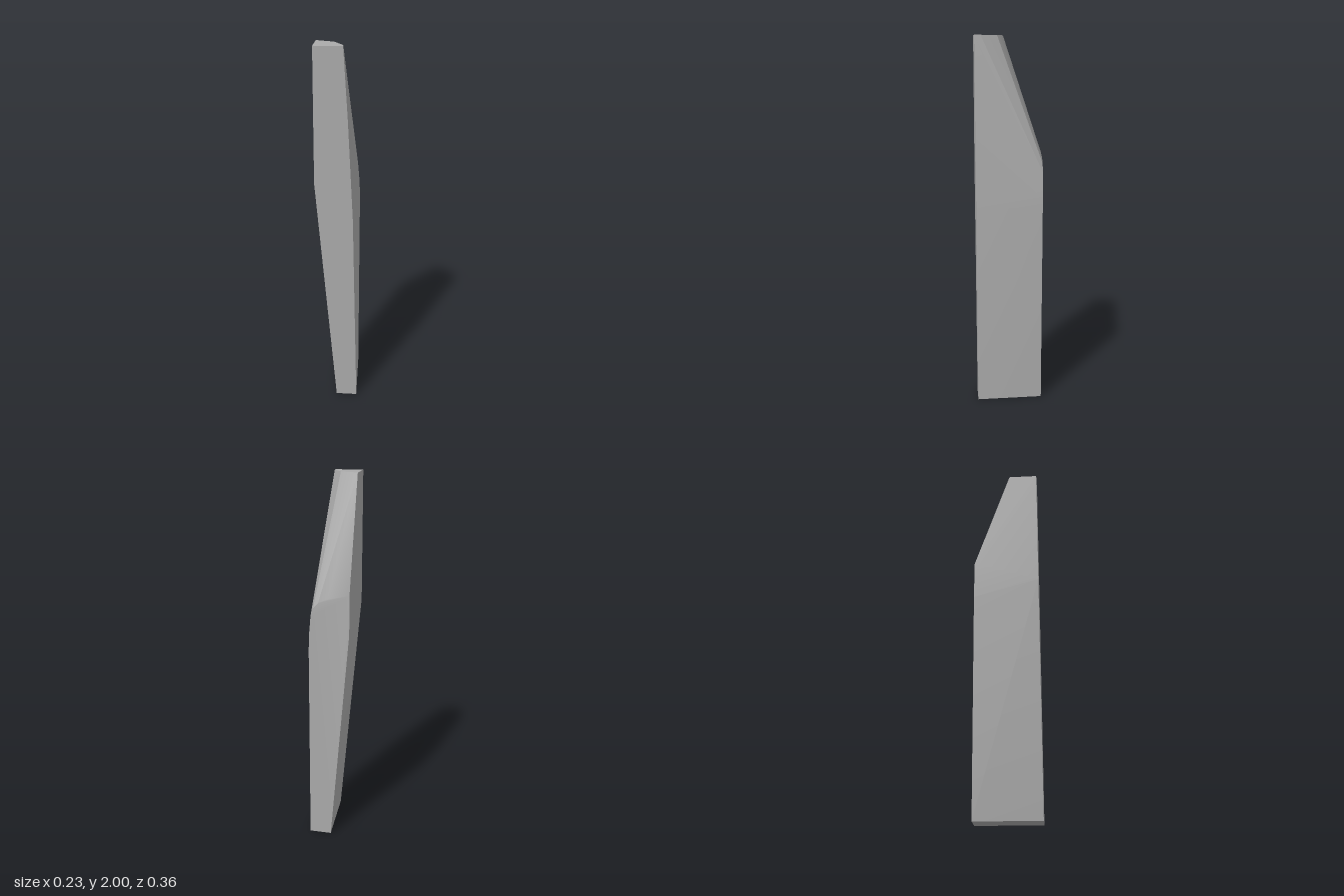
import * as THREE from 'three';
import { ConvexGeometry } from 'three/addons/geometries/ConvexGeometry.js';
import { toCreasedNormals } from 'three/addons/utils/BufferGeometryUtils.js';

export function createModel() {
  const group = new THREE.Group();
  group.name = 'standingStone';
  const stone = new THREE.MeshStandardMaterial({ color: 0xaaaaaa });
  stone.name = 'grey stone';

  const depth = 0.178;
  // front outline, x and y
  const front = [[-0.115, 2], [0.033, 2], [0.057, 1.64], [0.086, 1.1],
    [0.114, 0], [0, 0], [-0.115, 1.3]];
  // back outline with its rounded upper shoulder
  const back = [[-0.115, 1.41], [0, 1.385], [0.05, 1.362], [0.076, 1.335],
    [0.09, 1.29], [0.099, 1.19], [0.102, 1.1], [0.104, 0], [-0.015, 0], [-0.115, 1.2]];
  // corners of the cut top, behind the front edge
  const top = [[0.031, 0.145], [-0.02, 0.057], [-0.115, 0.019]];

  const points = [
    ...front.map(([x, y]) => new THREE.Vector3(x, y, depth)),
    ...back.map(([x, y]) => new THREE.Vector3(x, y, -depth)),
    ...top.map(([x, z]) => new THREE.Vector3(x, 2, z)),
  ];

  // convex slab, soft across the worn side and sharp at its edges
  const slab = new THREE.Mesh(toCreasedNormals(new ConvexGeometry(points), 0.4), stone);
  slab.name = 'slab';
  group.add(slab);
  return group;
}
